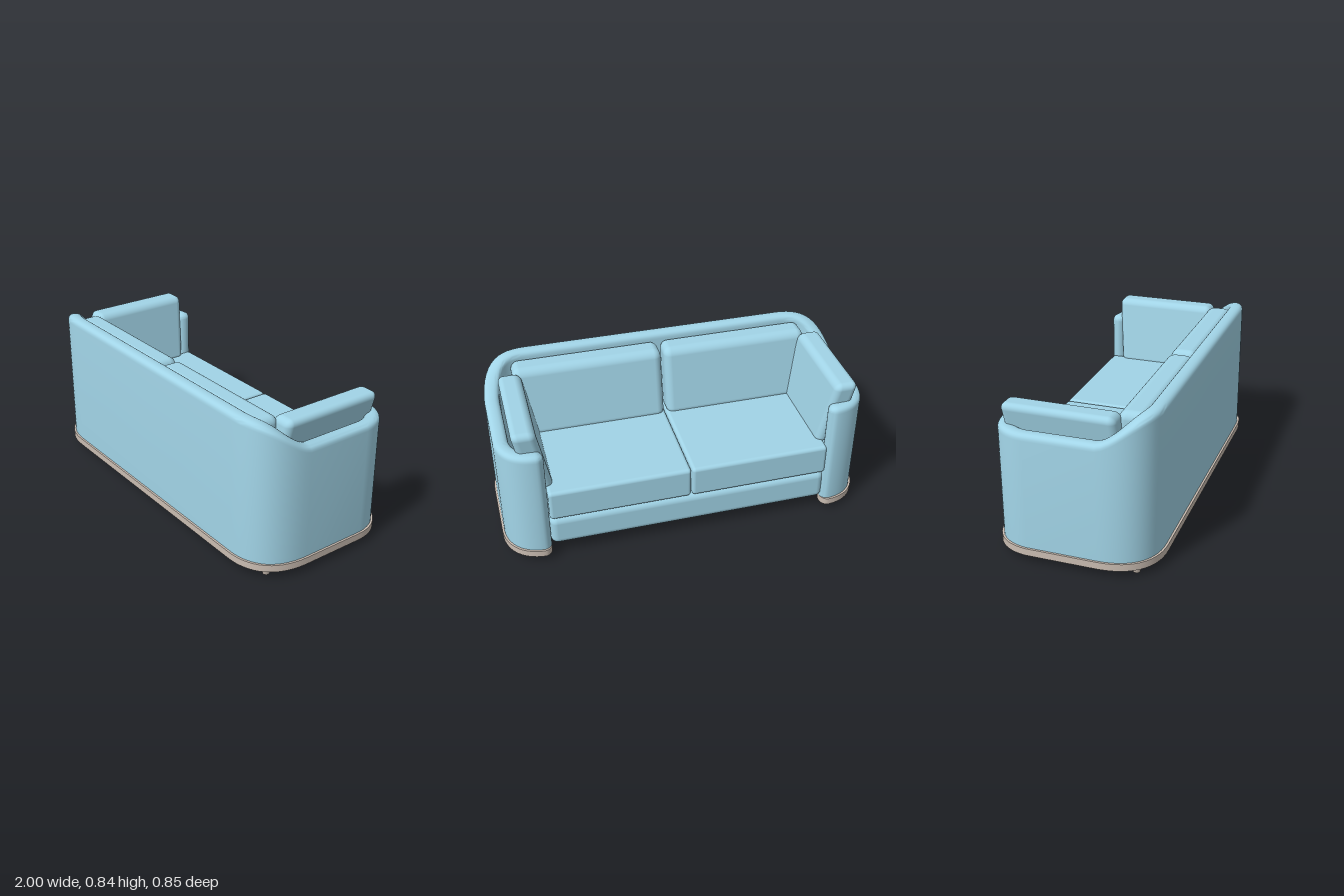
import * as THREE from 'three';
import { toCreasedNormals } from 'three/addons/utils/BufferGeometryUtils.js';
import { RoundedBoxGeometry } from 'three/addons/geometries/RoundedBoxGeometry.js';

const fabric = new THREE.MeshStandardMaterial({ name: 'blue fabric', color: 0xa2d5e8 });
const wood = new THREE.MeshStandardMaterial({ name: 'greyed wood', color: 0xcabdb2 });

// U-shaped centreline in x/z, wrapping the long side, both arms and the arm fronts
function wrapPath() {
  const k = 0.34;
  const half = new THREE.CurvePath();
  const v = (x, z) => new THREE.Vector2(x, z);
  half.add(new THREE.LineCurve(v(0, 0.375), v(0.73, 0.375)));
  half.add(new THREE.CubicBezierCurve(v(0.73, 0.375), v(0.949 - k * 0.219, 0.375), v(0.949, 0.375 - k * 0.235), v(0.949, 0.14)));
  half.add(new THREE.LineCurve(v(0.949, 0.14), v(0.949, -0.22)));
  half.add(new THREE.CubicBezierCurve(v(0.949, -0.22), v(0.94, -0.315), v(0.885, -0.366), v(0.8, -0.373)));
  const right = half.getPoints(14);
  const left = right.slice(1).reverse().map((p) => v(-p.x, p.y));
  return [...left, ...right];
}

// Sweeps a cross-section along the path; half-width tapers to round ends.
// section(w, z) returns a closed loop of [outward offset, height].
function sweep(path, halfWidth, section) {
  const stations = path.map((p, i) => {
    const a = path[Math.max(i - 1, 0)], b = path[Math.min(i + 1, path.length - 1)];
    return { p, t: b.clone().sub(a).normalize(), w: halfWidth };
  });
  const first = stations[0], last = stations[stations.length - 1];
  first.t.set(-1, 0);
  last.t.set(-1, 0);
  for (let i = 1; i <= 6; i++) {
    const a = (i / 6) * Math.PI / 2;
    const cap = (s, dir) => ({
      p: s.p.clone().addScaledVector(s.t, dir * 0.042 * Math.sin(a)), t: s.t, w: halfWidth * Math.cos(a),
    });
    stations.unshift(cap(first, -1));
    stations.push(cap(last, 1));
  }
  const pos = [], index = [];
  let n = 0;
  stations.forEach(({ p, t, w }, i) => {
    const loop = section(w, p.y);
    n = loop.length;
    for (const [o, y] of loop) pos.push(p.x - t.y * o, y, p.y + t.x * o);
    if (i === stations.length - 1) return;
    for (let j = 0; j < n; j++) {
      const a = i * n + j, d = i * n + (j + 1) % n;
      index.push(a, a + n, d + n, a, d + n, d);
    }
  });
  const geo = new THREE.BufferGeometry();
  geo.setAttribute('position', new THREE.Float32BufferAttribute(pos, 3));
  geo.setIndex(index);
  return toCreasedNormals(geo, 0.8);
}

// Upholstered wall: tall along the back, dropping to arm height, with a softly squared top
function shellSection(w, z) {
  const top = 0.69 + 0.148 * THREE.MathUtils.smoothstep(z, 0.125, 0.395);
  const loop = [[w, 0.07]];
  for (let i = 0; i <= 12; i++) {
    const c = Math.cos((i / 12) * Math.PI), s = Math.sin((i / 12) * Math.PI);
    loop.push([w * Math.sign(c) * Math.abs(c) ** 0.8, top - 0.034 + w * 0.85 * Math.abs(s) ** 0.8]);
  }
  loop.push([-w, 0.07]);
  return loop;
}

// Flat plinth strip, a little wider towards the inside
const plinthSection = (w) => [[w, 0.04], [w, 0.078], [-1.15 * w, 0.078], [-1.15 * w, 0.04]];

// Soft block given by its limits, optionally leaning in x or z with height
function cushion(x0, x1, y0, y1, z0, z1, radius, leanX = 0, leanZ = 0) {
  const geo = new RoundedBoxGeometry(x1 - x0, y1 - y0, z1 - z0, 4, radius);
  geo.applyMatrix4(new THREE.Matrix4().set(1, leanX, 0, 0, 0, 1, 0, 0, 0, leanZ, 1, 0, 0, 0, 0, 1));
  geo.translate((x0 + x1) / 2, (y0 + y1) / 2, (z0 + z1) / 2);
  return geo;
}

export function createModel() {
  const sofa = new THREE.Group();
  sofa.name = 'sofa';
  const add = (parent, name, geo, mat) => {
    const mesh = new THREE.Mesh(geo, mat);
    mesh.name = name;
    parent.add(mesh);
    return mesh;
  };

  const path = wrapPath();
  add(sofa, 'backAndArmShell', sweep(path, 0.04, shellSection), fabric);
  add(sofa, 'plinth', sweep(path, 0.051, plinthSection), wood);
  add(sofa, 'undersidePanel', new THREE.BoxGeometry(1.82, 0.02, 0.67).translate(0, 0.086, 0.01), fabric);

  // Seat and loose cushions
  const seating = new THREE.Group();
  seating.name = 'seating';
  seating.position.x = -0.006;
  sofa.add(seating);
  add(seating, 'seatBase', cushion(-0.765, 0.765, 0.076, 0.255, -0.395, 0.35, 0.04), fabric);
  for (const s of [1, -1]) {
    const side = s > 0 ? 'left' : 'right';
    const span = (a, b) => (s > 0 ? [a, b] : [-b, -a]);
    add(seating, side + 'SeatCushion', cushion(...span(0.002, 0.762), 0.258, 0.435, -0.4, 0.3, 0.02), fabric);
    add(seating, side + 'BackCushion', cushion(...span(0.008, 0.828), 0.41, 0.803, 0.165, 0.305, 0.042, 0, 0.19), fabric);
    add(seating, side + 'ArmCushion', cushion(...span(0.754, 0.879), 0.41, 0.798, -0.348, 0.232, 0.036, 0.19 * s, -0.1), fabric);
  }

  // Tapered feet
  const foot = new THREE.CylinderGeometry(0.028, 0.018, 0.042, 12).translate(0, 0.021, 0);
  for (const x of [-0.895, 0.895]) {
    for (const z of [-0.323, 0.316]) add(sofa, 'foot', foot, wood).position.set(x, 0, z);
  }
  return sofa;
}
